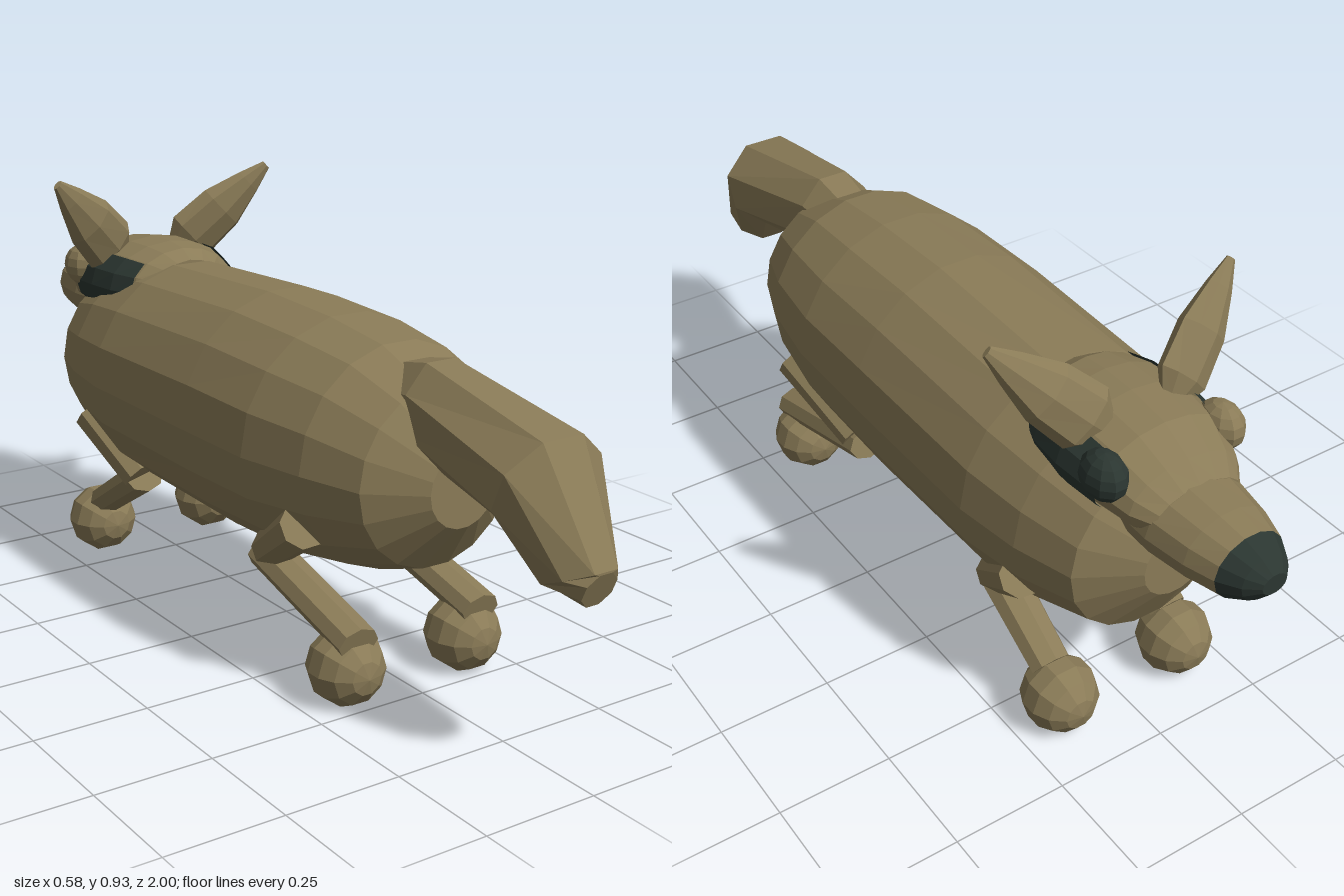
import * as THREE from 'three';

// Skin over elliptical rings ordered from -z to +z.
// Ring: [zTop, yTop, zBottom, yBottom, halfWidth]; arc limits make an open strip.
function loft(rings, n, { flat = false, from = 0, to = Math.PI * 2 } = {}) {
  const closed = to - from > 6.28;
  const grow = flat ? 1 / Math.cos(Math.PI / n) : 1;
  const pts = rings.map(([zt, yt, zb, yb, rx]) => {
    const row = [];
    for (let j = 0; j <= n; j++) {
      const a = from + ((j + (flat ? 0.5 : 0)) / n) * (to - from);
      const c = Math.cos(a) * grow, s = Math.sin(a) * grow;
      row.push([c * rx, (yt + yb) / 2 + (s * (yt - yb)) / 2, (zt + zb) / 2 + (s * (zt - zb)) / 2]);
    }
    return row;
  });
  const pos = [];
  const tri = (...p) => p.forEach((v) => pos.push(...v));
  for (let i = 0; i < pts.length - 1; i++) {
    for (let j = 0; j < n; j++) {
      const a = pts[i][j], b = pts[i][j + 1], c = pts[i + 1][j + 1], d = pts[i + 1][j];
      tri(a, b, d);
      tri(b, c, d);
    }
  }
  if (closed) {
    const mid = ([zt, yt, zb, yb]) => [0, (yt + yb) / 2, (zt + zb) / 2];
    const last = pts.length - 1;
    for (let j = 0; j < n; j++) {
      tri(mid(rings[0]), pts[0][j + 1], pts[0][j]);
      tri(mid(rings[last]), pts[last][j], pts[last][j + 1]);
    }
  }
  const g = new THREE.BufferGeometry();
  g.setAttribute('position', new THREE.Float32BufferAttribute(pos, 3));
  g.computeVertexNormals();
  return g;
}

// Upright ring centred at height y
const ring = (z, y, ry, rx = ry) => [z, y + ry, z, y - ry, rx];

export function createModel() {
  const model = new THREE.Group();
  const fur = new THREE.MeshStandardMaterial({ color: 0x8a7b57, flatShading: true });
  fur.name = 'tan fur';
  const dark = new THREE.MeshStandardMaterial({ color: 0x2b3631, flatShading: true, side: THREE.DoubleSide });
  dark.name = 'dark markings';

  const add = (name, geometry, material = fur) => {
    const mesh = new THREE.Mesh(geometry, material);
    mesh.name = name;
    model.add(mesh);
    return mesh;
  };

  // Faceted limb segment between two points
  const limb = (name, a, b, ra, rb, wide = 1) => {
    const A = new THREE.Vector3(...a), B = new THREE.Vector3(...b);
    const dir = B.clone().sub(A);
    const mesh = add(name, new THREE.CylinderGeometry(rb, ra, dir.length(), 8));
    mesh.position.copy(A).add(B).multiplyScalar(0.5);
    mesh.quaternion.setFromUnitVectors(new THREE.Vector3(0, 1, 0), dir.normalize());
    mesh.scale.set(wide, 1, 1);
  };

  // Barrel body
  add('body', loft([
    ring(-0.75, 0.48, 0.08), ring(-0.68, 0.48, 0.2), ring(-0.55, 0.48, 0.24),
    ring(-0.4, 0.48, 0.262), ring(0, 0.482, 0.274, 0.266), ring(0.23, 0.482, 0.264),
    ring(0.4, 0.485, 0.238), ring(0.53, 0.478, 0.188), ring(0.61, 0.475, 0.08),
  ], 18));

  // Head, with a dark patch on each side behind the eye
  const headRings = [
    ring(-0.79, 0.64, 0.05, 0.1), ring(-0.75, 0.65, 0.075, 0.13), ring(-0.68, 0.67, 0.092, 0.155),
    ring(-0.58, 0.675, 0.1, 0.165), ring(-0.5, 0.675, 0.1, 0.158),
    ring(-0.44, 0.675, 0.092, 0.135), ring(-0.405, 0.675, 0.07, 0.09),
  ];
  add('head', loft(headRings, 16));
  const patchRings = headRings.slice(2, 6).map(([zt, yt, zb, yb, rx]) => [zt, yt + 0.004, zb, yb - 0.004, rx + 0.005]);
  for (const middle of [0, Math.PI]) {
    add('cheekPatch', loft(patchRings, 4, { from: middle - 0.75, to: middle + 0.75 }), dark);
  }

  // Snout and nose
  const noseBase = ring(-0.932, 0.605, 0.07, 0.08);
  add('snout', loft([noseBase, ring(-0.87, 0.607, 0.078, 0.1), ring(-0.78, 0.61, 0.083, 0.115), ring(-0.68, 0.61, 0.083, 0.11)], 14));
  add('nose', loft([ring(-1, 0.61, 0.022, 0.028), ring(-0.975, 0.607, 0.048, 0.055), noseBase], 14), dark);

  // Bent, bushy tail
  add('tail', loft([
    [0.45, 0.695, 0.45, 0.52, 0.075], [0.53, 0.711, 0.53, 0.52, 0.083],
    [0.877, 0.647, 0.8, 0.465, 0.115], [1, 0.437, 0.866, 0.38, 0.066], [1, 0.433, 0.97, 0.363, 0.036],
  ], 8, { flat: true }));

  const earShape = loft([
    ring(-0.04, 0, 0.02, 0.04), ring(0, 0, 0.036, 0.07), ring(0.1, 0, 0.038, 0.064),
    ring(0.19, 0, 0.022, 0.035), ring(0.25, 0, 0.007, 0.012),
  ], 8);

  for (const s of [-1, 1]) {
    // Leaf-shaped ears leaning outward
    const along = new THREE.Vector3(s * 0.165, 0.165, 0.075).normalize();
    const across = new THREE.Vector3(s, -1, 0).normalize();
    const ear = add('ear', earShape);
    ear.quaternion.setFromRotationMatrix(
      new THREE.Matrix4().makeBasis(across, along.clone().cross(across), along));
    ear.position.set(s * 0.113, 0.762, -0.59);

    // Odd-coloured eyes
    const eye = add('eye', new THREE.SphereGeometry(1, 10, 8), s > 0 ? dark : fur);
    eye.scale.set(0.042, 0.05, 0.056);
    eye.position.set(s * 0.138, 0.702, -0.682);

    // Folded legs
    limb('frontThigh', [s * 0.205, 0.375, -0.53], [s * 0.16, 0.25, -0.38], 0.045, 0.042);
    limb('frontShin', [s * 0.15, 0.25, -0.38], [s * 0.152, 0.135, -0.57], 0.04, 0.036, 1.25);
    limb('hindThigh', [s * 0.205, 0.37, 0.37], [s * 0.16, 0.25, 0.18], 0.05, 0.042);
    limb('hindShin', [s * 0.15, 0.235, 0.15], [s * 0.155, 0.147, 0.49], 0.036, 0.036, 1.3);

    // Ball paws
    for (const z of [-0.6, 0.44]) {
      const paw = add('paw', new THREE.SphereGeometry(0.082, 10, 7));
      paw.rotation.x = Math.PI / 2;
      paw.position.set(s * 0.15, 0.08, z);
    }
  }
  return model;
}
